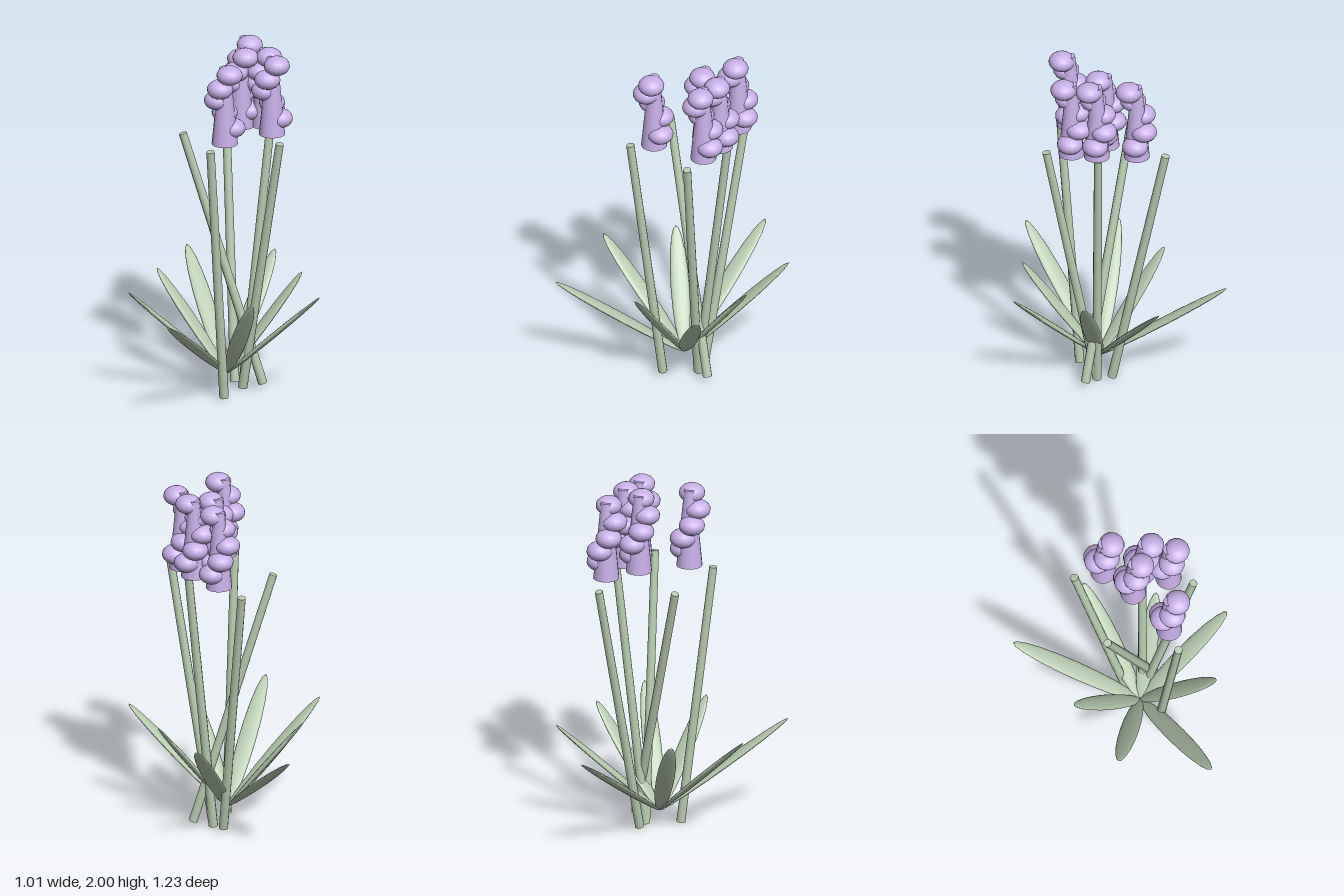
import * as THREE from 'three';

const green = new THREE.MeshStandardMaterial({ color: 0xb7cbb0 });
const purple = new THREE.MeshStandardMaterial({ color: 0xc8b0e8 });
const UP = new THREE.Vector3(0, 1, 0);

function mesh(name, geometry, material) {
  const m = new THREE.Mesh(geometry, material);
  m.name = name;
  return m;
}

// Slightly tapered stalk between two points
function stem(from, to) {
  const a = new THREE.Vector3(...from), b = new THREE.Vector3(...to);
  const dir = b.clone().sub(a);
  const m = mesh('stem', new THREE.CylinderGeometry(0.023, 0.026, dir.length(), 10), green);
  m.position.copy(a).add(b).multiplyScalar(0.5);
  m.quaternion.setFromUnitVectors(UP, dir.normalize());
  return m;
}

// Flattened ellipsoid blade from the crown to its tip, broad side facing up
function leaf(from, to) {
  const a = new THREE.Vector3(...from), b = new THREE.Vector3(...to);
  const dir = b.clone().sub(a);
  const length = dir.length();
  dir.normalize();
  const side = new THREE.Vector3().crossVectors(dir, UP).normalize();
  const normal = new THREE.Vector3().crossVectors(side, dir);
  const m = mesh('leaf', new THREE.SphereGeometry(1, 12, 10), green);
  m.scale.set(0.052, length / 2, 0.015);
  m.quaternion.setFromRotationMatrix(new THREE.Matrix4().makeBasis(side, dir, normal));
  m.position.copy(a).add(b).multiplyScalar(0.5);
  return m;
}

// Tapered spike with florets climbing around it in a spiral
function flower(x, z) {
  const g = new THREE.Group();
  g.name = 'flower';
  const spike = mesh('flowerSpike', new THREE.CylinderGeometry(0.03, 0.073, 0.45, 16), purple);
  spike.position.y = 1.755;
  g.add(spike);
  for (let i = 0; i < 5; i++) {
    const angle = i * Math.PI * 2 / 5;
    const floret = mesh('floret', new THREE.SphereGeometry(0.073, 16, 12), purple);
    floret.scale.y = 0.74;
    floret.position.set(0.045 * Math.cos(angle), 1.618 + i * 0.082, -0.045 * Math.sin(angle));
    g.add(floret);
  }
  g.position.set(x, 0, z);
  return g;
}

export function createModel() {
  const model = new THREE.Group();
  model.name = 'floweringPlant';

  // Stems: bottom, top
  [
    [[0.262, 0.035, 0.145], [-0.145, 1.495, -0.035]],
    [[0.14, 0.015, 0.018], [0.19, 1.51, -0.293]],
    [[0.01, 0.008, 0.225], [-0.113, 1.52, 0.36]],
    [[0.16, 0.008, 0.10], [0.29, 1.52, 0.36]],
    [[0.16, 0.003, 0.10], [0.335, 1.525, 0.06]],
  ].forEach(([a, b]) => model.add(stem(a, b)));

  // Leaves fan out from one crown
  [
    [0.067, 0.61, -0.615], [0.48, 0.645, -0.305], [0.505, 0.65, 0.105], [0.475, 0.645, 0.512],
    [0.067, 0.65, 0.54], [-0.442, 0.61, 0.615], [-0.51, 0.645, 0.105], [-0.242, 0.65, -0.205],
  ].forEach((tip) => model.add(leaf([0.067, 0.1, 0.105], tip)));

  // Flower heads
  [[-0.005, 0.284], [0.292, 0.218], [0.166, 0.045], [0.294, 0.075], [0.252, -0.142]]
    .forEach(([x, z]) => model.add(flower(x, z)));

  return model;
}
